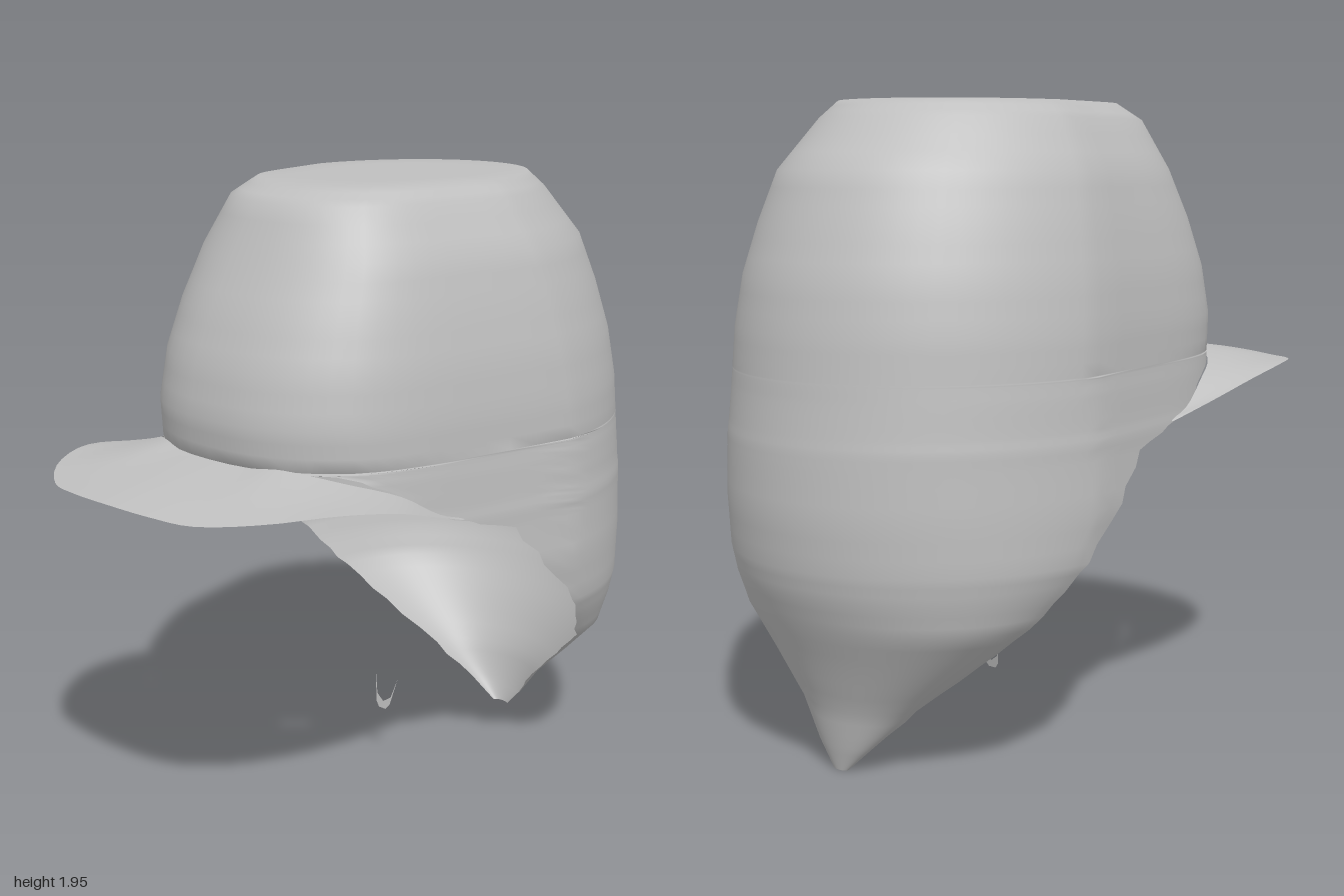
import * as THREE from 'three';
import { mergeVertices } from 'three/addons/utils/BufferGeometryUtils.js';

const grey = new THREE.MeshStandardMaterial({ color: 0xbfbfbf, side: THREE.DoubleSide });
grey.name = 'plain grey';

// Smooth grid surface from point(row, column), both running 0..1
function surface(rows, cols, point) {
  const positions = [], index = [];
  for (let i = 0; i <= rows; i++)
    for (let j = 0; j <= cols; j++) positions.push(...point(i / rows, j / cols));
  for (let i = 0; i < rows; i++)
    for (let j = 0; j < cols; j++) {
      const a = i * (cols + 1) + j, c = a + cols + 1;
      index.push(a, a + 1, c, a + 1, c + 1, c);
    }
  let geometry = new THREE.BufferGeometry();
  geometry.setAttribute('position', new THREE.Float32BufferAttribute(positions, 3));
  geometry.setIndex(index);
  geometry = mergeVertices(geometry, 1e-4);
  geometry.computeVertexNormals();
  return geometry;
}

// Crown sections: height, half width, front z, back z, widest z, z of the cut edge
const sections = [
  [1.95, 0, -0.2, -0.2, -0.2, -0.2],
  [1.95, 0.36, 0.28, -0.63, -0.2, 0.28],
  [1.9, 0.41, 0.38, -0.69, -0.2, 0.38],
  [1.75, 0.5, 0.46, -0.83, -0.22, 0.46],
  [1.6, 0.545, 0.54, -0.89, -0.25, 0.54],
  [1.45, 0.58, 0.6, -0.94, -0.27, 0.6],
  [1.3, 0.6, 0.63, -0.965, -0.29, 0.63],
  [1.18, 0.605, 0.62, -0.975, -0.3, 0.62],
  [1.17, 0.605, 0.62, -0.976, -0.3, 0.48],
  [1.12, 0.61, 0.62, -0.98, -0.3, 0.35],
  [1.03, 0.615, 0.62, -0.99, -0.3, 0.22],
  [0.99, 0.62, 0.62, -0.995, -0.3, 0.1],
  [0.94, 0.62, 0.62, -0.997, -0.3, -0.08],
  [0.8, 0.625, 0.62, -1, -0.3, -0.2],
  [0.65, 0.61, 0.62, -0.985, -0.35, -0.35],
  [0.57, 0.575, 0.62, -0.965, -0.41, -0.41],
  [0.47, 0.52, 0.62, -0.925, -0.49, -0.49],
  [0.35, 0.39, 0.62, -0.87, -0.56, -0.56],
  [0.2, 0.22, 0.62, -0.81, -0.65, -0.65],
  [0.08, 0.11, 0.62, -0.785, -0.72, -0.72],
  [0, 0.03, 0.62, -0.765, -0.75, -0.75],
];

function crownPoint(v, u) {
  const f = v * (sections.length - 1);
  const k = Math.min(Math.floor(f), sections.length - 2);
  const [y, width, front, back, middle, cut] =
    sections[k].map((a, n) => THREE.MathUtils.lerp(a, sections[k + 1][n], f - k));
  // slightly ragged cut edge below the front
  const ragged = f > 8 && f < 19 ? 0.012 * Math.sin(f * 7.3) : 0;
  const reach = Math.max(front - middle, 1e-6);
  const s = THREE.MathUtils.clamp((cut + ragged - middle) / reach, 0, 1);
  const limit = Math.PI / 2 + Math.asin(Math.min(1, Math.pow(s, 1 / 0.85)));
  const t = (u * 2 - 1) * limit;           // zero at the back
  const c = Math.cos(t), side = Math.sin(t);
  if (c >= 0) return [width * side, y, middle + (back - middle) * c];
  // fuller front with a slight waist
  const q = Math.pow(-c, 0.85);
  const waist = 1 - 0.07 * Math.sin(Math.PI * Math.min(q / 0.8, 1));
  return [width * waist * Math.sign(side) * Math.pow(Math.abs(side), 0.85), y, middle + reach * q];
}

// Curve through points of the left half and their mirror images
function mirroredCurve(half) {
  const left = half.map(p => new THREE.Vector3(...p));
  const right = half.slice(1).map(([x, y, z]) => new THREE.Vector3(-x, y, z));
  return new THREE.CatmullRomCurve3([...left.reverse(), ...right]);
}

export function createModel() {
  const model = new THREE.Group();
  model.name = 'cap';
  const add = (name, geometry) => {
    const mesh = new THREE.Mesh(geometry, grey);
    mesh.name = name;
    model.add(mesh);
  };

  // Crown with its long neck flap
  add('crown', surface((sections.length - 1) * 3, 64, crownPoint));

  // Brim, lofted from the crown edge to the drooping rim
  const inner = mirroredCurve([
    [0, 1.18, 0.615], [0.15, 1.18, 0.6], [0.25, 1.185, 0.57], [0.4, 1.15, 0.46],
    [0.48, 1.1, 0.32], [0.52, 1.03, 0.2], [0.535, 1.0, 0.1],
  ]);
  const outer = mirroredCurve([
    [0, 1.125, 1], [0.17, 1.12, 0.985], [0.3, 1.115, 0.95], [0.45, 1.125, 0.83],
    [0.55, 1.13, 0.65], [0.58, 1.1, 0.45], [0.565, 1.05, 0.28], [0.54, 1.0, 0.12],
  ]);
  add('brim', surface(4, 48, (v, u) =>
    inner.getPoint(u).lerp(outer.getPoint(u), v).toArray()));

  // Small loose strap piece under the chin
  const strap = new THREE.Shape([
    [-0.05, 0.285], [-0.03, 0.19], [-0.015, 0.172], [0.015, 0.172], [0.03, 0.19], [0.05, 0.285],
    [0.03, 0.215], [0, 0.195], [-0.03, 0.215],
  ].map(p => new THREE.Vector2(...p)));
  const strapGeometry = new THREE.ShapeGeometry(strap);
  const p = strapGeometry.attributes.position;
  for (let i = 0; i < p.count; i++) p.setZ(i, -0.12 - (p.getY(i) - 0.18) * 0.2);
  strapGeometry.computeVertexNormals();
  add('chinStrap', strapGeometry);

  return model;
}
